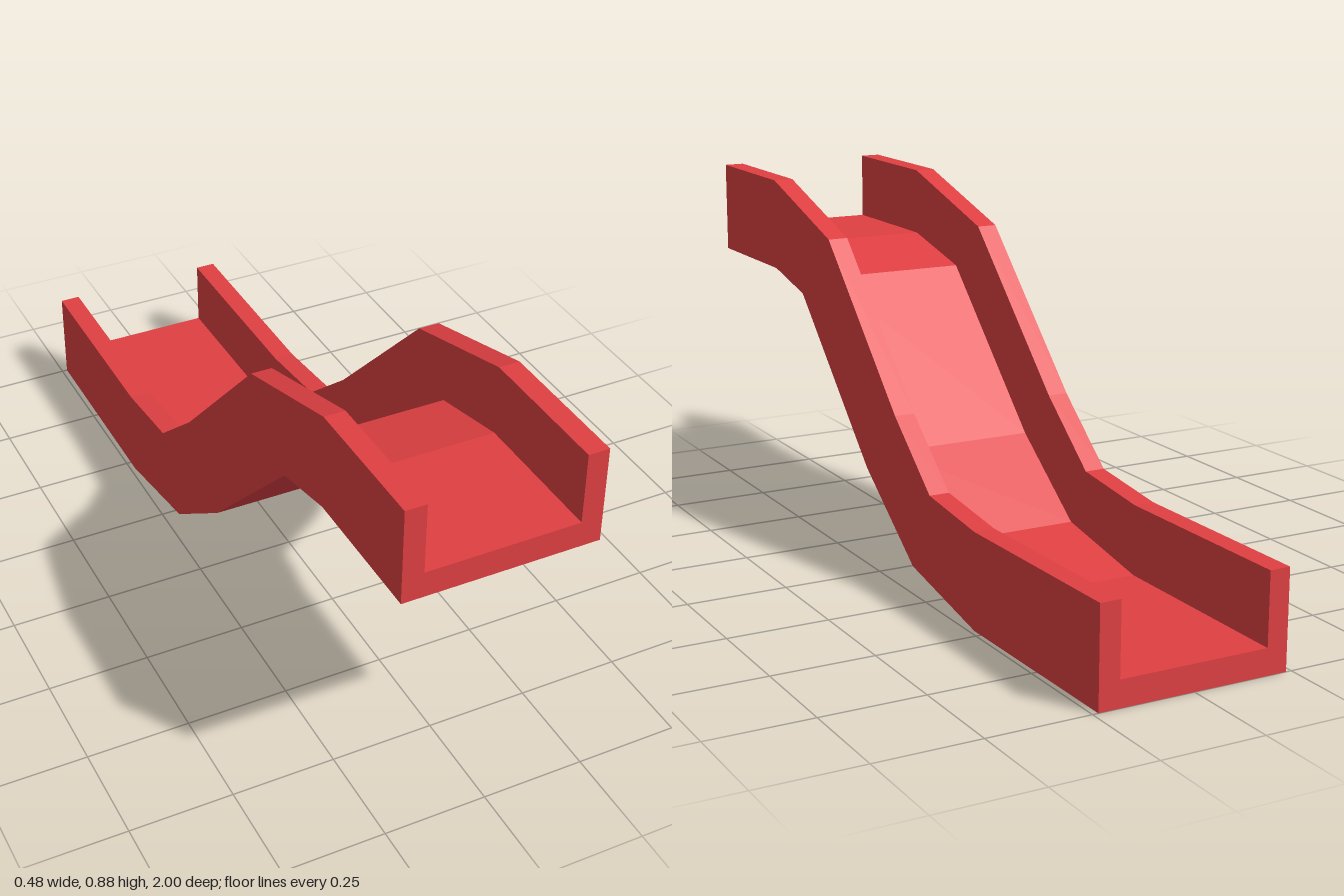
import * as THREE from 'three';

// Stations along the slide: [rail top z, y, underside z, y, half width]
const STATIONS = [
  [1, 0.885, 1, 0.65, 0.235],
  [0.65, 0.885, 0.65, 0.65, 0.235],
  [0.3, 0.78, 0.47, 0.613, 0.238],
  [-0.07, 0.41, 0.09, 0.24, 0.238],
  [-0.25, 0.26, -0.16, 0.06, 0.238],
  [-0.47, 0.235, -0.47, 0, 0.238],
  [-1, 0.238, -1, 0, 0.236],
];
const WALL = 0.051; // side wall thickness
const FLOOR = 0.268; // floor height as a share of the rail height

// U-shaped channel section, counter-clockwise seen from the front
function section([tz, ty, bz, by, o]) {
  const i = o - WALL;
  const at = (x, t) => [x, by + (ty - by) * t, bz + (tz - bz) * t];
  return [at(-o, 0), at(o, 0), at(o, 1), at(i, 1), at(i, FLOOR), at(-i, FLOOR), at(-i, 1), at(-o, 1)];
}

function channelGeometry() {
  const rings = STATIONS.map(section);
  const positions = [];
  const quad = (a, b, c, d) => positions.push(...a, ...b, ...c, ...a, ...c, ...d);

  // Skin between neighbouring sections
  for (let k = 0; k < rings.length - 1; k++) {
    const p = rings[k], q = rings[k + 1];
    for (let j = 0; j < 8; j++) {
      const n = (j + 1) % 8;
      quad(p[j], q[j], q[n], p[n]);
    }
  }

  // End caps: floor slab and the two walls
  const first = rings[0], last = rings[rings.length - 1];
  for (const [a, b, c, d] of [[0, 1, 4, 5], [1, 2, 3, 4], [5, 6, 7, 0]]) {
    quad(first[a], first[b], first[c], first[d]);
    quad(last[d], last[c], last[b], last[a]);
  }

  const geometry = new THREE.BufferGeometry();
  geometry.setAttribute('position', new THREE.Float32BufferAttribute(positions, 3));
  geometry.computeVertexNormals();
  return geometry;
}

export function createModel() {
  const group = new THREE.Group();
  group.name = 'slide';
  const material = new THREE.MeshStandardMaterial({ color: 0xe04043, flatShading: true });
  const channel = new THREE.Mesh(channelGeometry(), material);
  channel.name = 'slideChannel';
  group.add(channel);
  return group;
}
